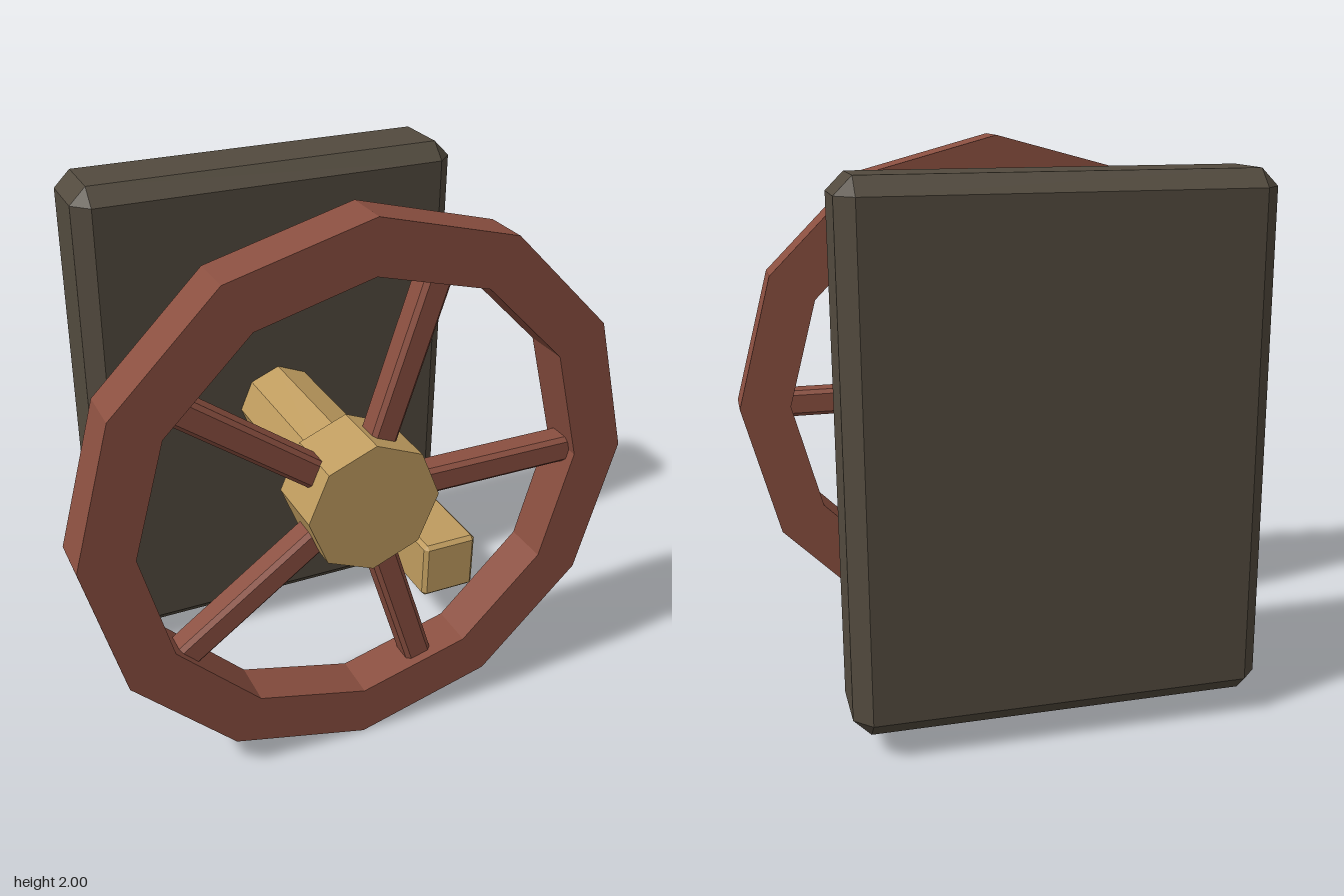
import * as THREE from 'three';
import { ConvexGeometry } from 'three/addons/geometries/ConvexGeometry.js';

const flat = (name, color) => {
  const m = new THREE.MeshStandardMaterial({ color });
  m.name = name;
  m.flatShading = true;
  return m;
};

// Box with all edges and corners chamfered by c
function chamferBox(w, h, d, c) {
  const points = [];
  const [x, y, z] = [w / 2, h / 2, d / 2];
  for (const sx of [-1, 1]) for (const sy of [-1, 1]) for (const sz of [-1, 1]) {
    points.push(
      new THREE.Vector3(sx * x, sy * (y - c), sz * (z - c)),
      new THREE.Vector3(sx * (x - c), sy * y, sz * (z - c)),
      new THREE.Vector3(sx * (x - c), sy * (y - c), sz * z)
    );
  }
  return new ConvexGeometry(points);
}

// Regular polygon points with one corner on +x
function polygon(radius, sides) {
  return Array.from({ length: sides }, (_, i) => {
    const a = (i / sides) * Math.PI * 2;
    return new THREE.Vector2(Math.cos(a) * radius, Math.sin(a) * radius);
  });
}

export function createModel() {
  const model = new THREE.Group();
  model.name = 'handwheel';
  const iron = flat('darkIron', 0x524a3e);
  const red = flat('redPaint', 0x8a4f40);
  const brass = flat('brass', 0xbf9c5f);

  const add = (parent, name, geometry, material, x, y, z) => {
    const mesh = new THREE.Mesh(geometry, material);
    mesh.name = name;
    mesh.position.set(x, y, z);
    parent.add(mesh);
    return mesh;
  };

  // Wall plate
  add(model, 'backPlate', chamferBox(1.445, 1.845, 0.33, 0.06), iron, 0, 1.002, -0.413);

  // Octagonal shaft and hub along z
  const rod = (radius, length) => new THREE.CylinderGeometry(radius, radius, length, 8).rotateX(Math.PI / 2);
  add(model, 'shaft', rod(0.153, 0.66), brass, 0, 1, 0.05);
  add(model, 'hub', rod(0.24, 0.237), brass, 0, 1, 0.4595);

  // Stop peg on the plate
  add(model, 'peg', chamferBox(0.218, 0.227, 0.575, 0.015), brass, 0.479, 0.443, 0.008);

  // Wheel: twelve-sided rim and five spokes
  const wheel = new THREE.Group();
  wheel.name = 'wheel';
  wheel.position.set(0, 1, 0.459);
  model.add(wheel);

  const rimShape = new THREE.Shape(polygon(1, 12));
  rimShape.holes.push(new THREE.Path(polygon(0.81, 12)));
  const rimGeometry = new THREE.ExtrudeGeometry(rimShape, { depth: 0.168, bevelEnabled: false });
  add(wheel, 'rim', rimGeometry, red, 0, 0, -0.084);

  const spokeGeometry = chamferBox(0.66, 0.1, 0.1, 0.015).translate(0.52, 0, 0);
  for (let i = 0; i < 5; i++) {
    add(wheel, 'spoke', spokeGeometry, red, 0, 0, 0).rotation.z = (i / 5) * Math.PI * 2;
  }
  return model;
}
